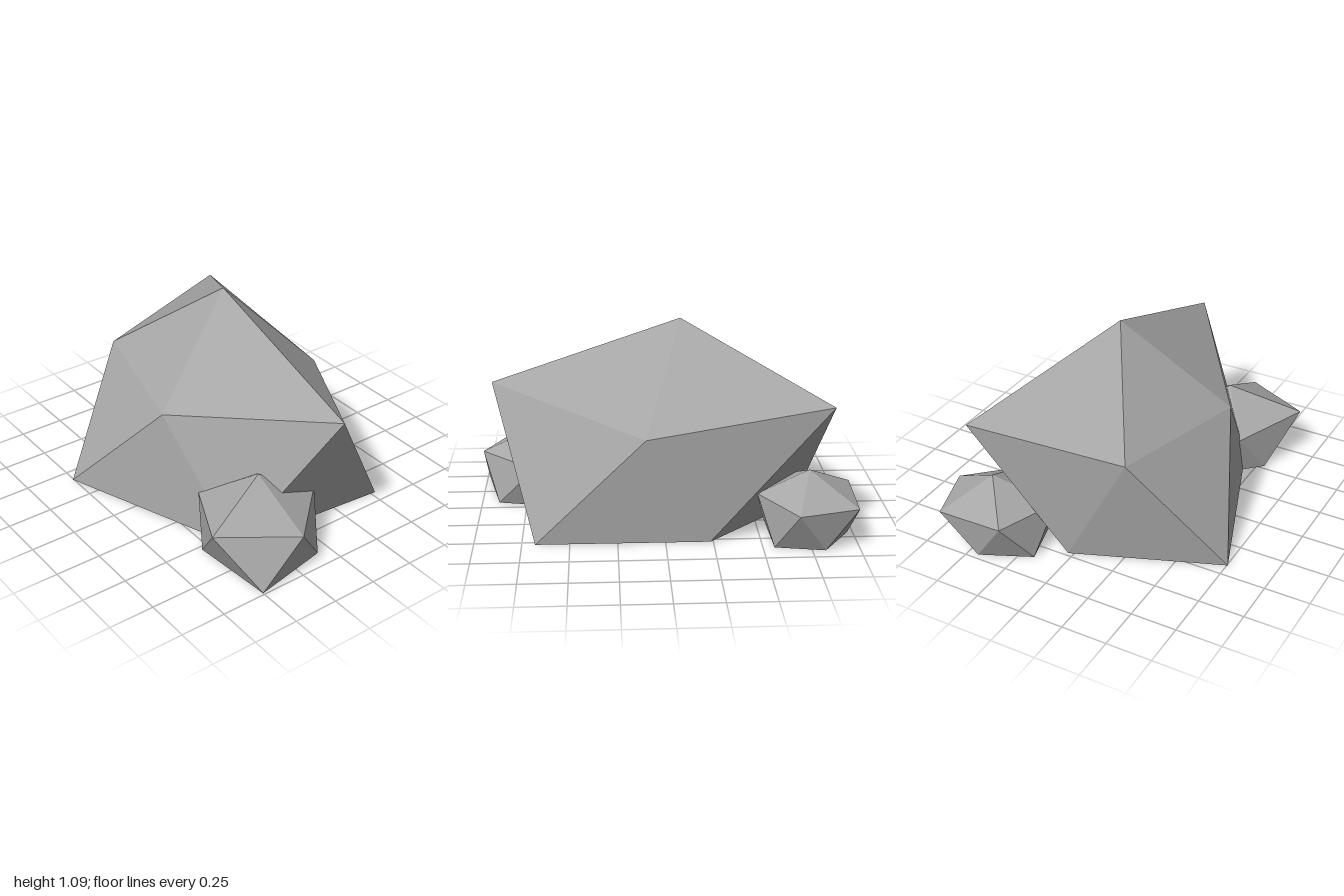
import * as THREE from 'three';

// Faceted boulder: an apex, a ring of shoulder corners and a ring of ground corners
// (both rings run counter-clockwise from above; base[i] sits between ring[i] and ring[i + 1]).
function boulder(name, material, apex, ring, base) {
  const positions = [];
  const face = (a, b, c) => positions.push(...a, ...b, ...c);
  const n = ring.length;
  for (let i = 0; i < n; i++) {
    const j = (i + 1) % n;
    face(apex, ring[i], ring[j]);
    face(ring[i], base[i], ring[j]);
    face(base[i], base[j], ring[j]);
    if (i > 0 && i < n - 1) face(base[0], base[j], base[i]); // flat underside
  }
  const geometry = new THREE.BufferGeometry();
  geometry.setAttribute('position', new THREE.Float32BufferAttribute(positions, 3));
  geometry.computeVertexNormals();
  const mesh = new THREE.Mesh(geometry, material);
  mesh.name = name;
  return mesh;
}

export function createModel() {
  const stone = new THREE.MeshStandardMaterial({ color: 0xa6a6a6 });
  stone.name = 'grey stone';
  stone.flatShading = true;

  const group = new THREE.Group();
  group.name = 'rocks';

  // Large central rock
  group.add(boulder('largeRock', stone, [-0.1, 1.09, -0.06],
    [[-0.87, 0.725, -0.53], [-0.68, 0.62, 0.29], [0.115, 0.605, 0.495], [0.91, 0.748, -0.06], [0.1, 0.57, -0.547]],
    [[-0.73, 0, -0.03], [-0.42, 0, 0.755], [0.6, 0, 0.385], [0.68, 0, -0.528], [-0.235, 0, -0.53]]));

  // Small rock at the front left
  group.add(boulder('frontSmallRock', stone, [0.625, 0.415, 0.255],
    [[0.37, 0.235, 0.45], [0.765, 0.275, 0.648], [0.998, 0.245, 0.255], [0.7, 0.245, -0.06], [0.32, 0.24, 0.08]],
    [[0.525, 0, 0.54], [0.99, 0, 0.5], [0.905, 0, 0.075], [0.6, 0, 0.01], [0.33, 0, 0.34]]));

  // Small rock at the back right
  group.add(boulder('backSmallRock', stone, [-0.755, 0.37, -0.47],
    [[-1, 0.233, -0.275], [-0.65, 0.23, -0.15], [-0.48, 0.25, -0.49], [-0.67, 0.22, -0.755], [-0.99, 0.216, -0.655]],
    [[-0.845, 0, -0.17], [-0.55, 0, -0.25], [-0.56, 0, -0.62], [-0.82, 0, -0.67], [-0.97, 0, -0.44]]));

  return group;
}
